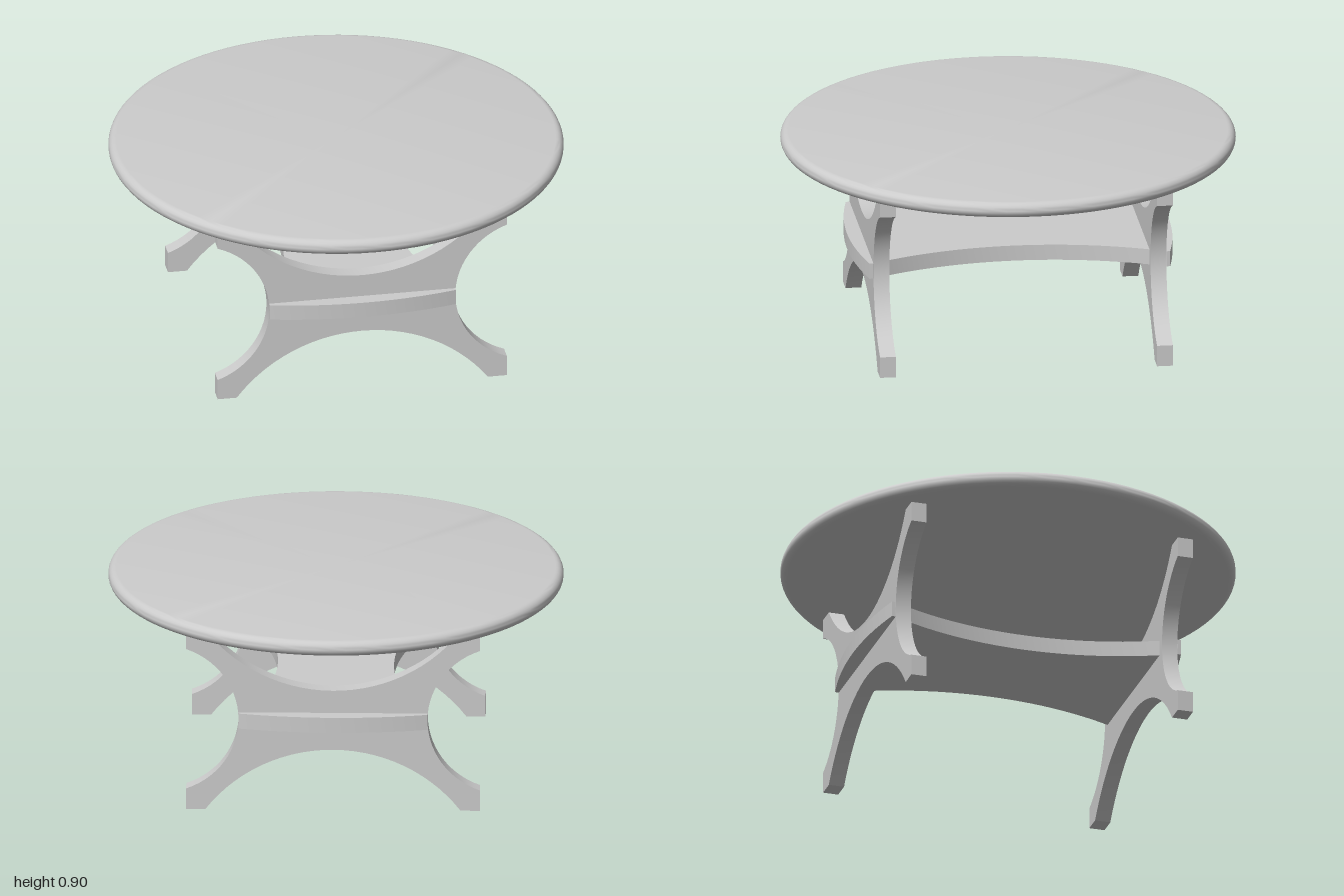
import * as THREE from 'three';
import { toCreasedNormals } from 'three/addons/utils/BufferGeometryUtils.js';

const material = new THREE.MeshStandardMaterial({ color: 0xcccccc });

// Arc through a start, middle and end point, as a list of points
function arc(a, m, b, steps = 28) {
  const d = 2 * (a[0] * (m[1] - b[1]) + m[0] * (b[1] - a[1]) + b[0] * (a[1] - m[1]));
  const [sa, sm, sb] = [a, m, b].map(([x, y]) => x * x + y * y);
  const cx = (sa * (m[1] - b[1]) + sm * (b[1] - a[1]) + sb * (a[1] - m[1])) / d;
  const cy = (sa * (b[0] - m[0]) + sm * (a[0] - b[0]) + sb * (m[0] - a[0])) / d;
  const start = Math.atan2(a[1] - cy, a[0] - cx);
  let sweep = Math.atan2(b[1] - cy, b[0] - cx) - start;
  if (sweep > Math.PI) sweep -= 2 * Math.PI;
  if (sweep < -Math.PI) sweep += 2 * Math.PI;
  const r = Math.hypot(a[0] - cx, a[1] - cy);
  return Array.from({ length: steps + 1 }, (_, i) => {
    const t = start + (sweep * i) / steps;
    return new THREE.Vector2(cx + r * Math.cos(t), cy + r * Math.sin(t));
  });
}

// Flat board cut from an outline, smooth along its curves
function board(points, depth) {
  const geometry = new THREE.ExtrudeGeometry(new THREE.Shape(points), { depth, bevelEnabled: false });
  return toCreasedNormals(geometry, Math.PI / 7);
}

function add(group, name, geometry) {
  const mesh = new THREE.Mesh(geometry, material);
  mesh.name = name;
  group.add(mesh);
  return mesh;
}

export function createModel() {
  const group = new THREE.Group();
  group.name = 'roundTable';

  // Round top with a fully rounded rim
  const r = 0.035;
  const profile = [new THREE.Vector2(0, 0.835)];
  for (let i = 0; i <= 12; i++) {
    const t = -Math.PI / 2 + (Math.PI * i) / 12;
    profile.push(new THREE.Vector2(1 - r + r * Math.cos(t), 0.87 + r * Math.sin(t)));
  }
  profile.push(new THREE.Vector2(0, 0.905));
  add(group, 'tableTop', toCreasedNormals(new THREE.LatheGeometry(profile, 96), Math.PI / 5));

  // Two X-shaped leg frames, front and back
  const frame = [
    ...arc([-0.56, 0], [0, 0.28], [0.56, 0]),
    new THREE.Vector2(0.645, 0),
    ...arc([0.645, 0.095], [0.415, 0.42], [0.645, 0.745]),
    new THREE.Vector2(0.645, 0.835),
    ...arc([0.56, 0.835], [0, 0.555], [-0.56, 0.835]),
    new THREE.Vector2(-0.645, 0.835),
    ...arc([-0.645, 0.745], [-0.415, 0.42], [-0.645, 0.095]),
    new THREE.Vector2(-0.645, 0),
  ];
  const frameGeometry = board(frame, 0.07);
  add(group, 'frontLegFrame', frameGeometry).position.z = 0.578;
  add(group, 'backLegFrame', frameGeometry).position.z = -0.648;

  // Low shelf: bowed ends, hollowed sides
  const shelf = [
    ...arc([-0.415, -0.665], [0, -0.713], [0.415, -0.665]),
    ...arc([0.415, -0.65], [0.255, 0], [0.415, 0.65]),
    ...arc([0.415, 0.665], [0, 0.713], [-0.415, 0.665]),
    ...arc([-0.415, 0.65], [-0.255, 0], [-0.415, -0.65]),
  ];
  const shelfMesh = add(group, 'shelf', board(shelf, 0.07));
  shelfMesh.rotation.x = Math.PI / 2;
  shelfMesh.position.y = 0.452;

  return group;
}
